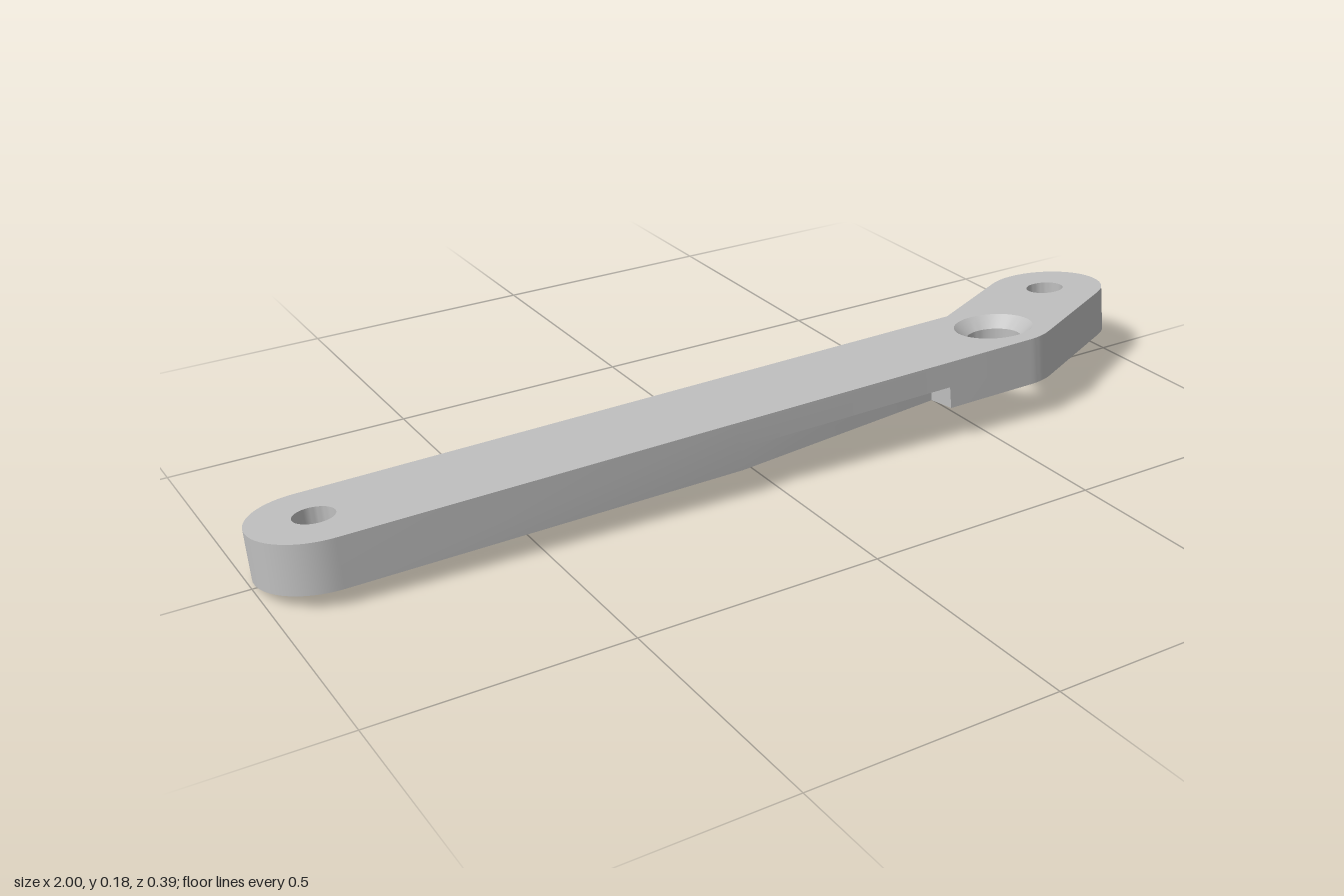
import * as THREE from 'three';
import { mergeGeometries, toCreasedNormals } from 'three/addons/utils/BufferGeometryUtils.js';

const V = (x, y) => new THREE.Vector2(x, y);

// points on an arc; plan coordinates are (x, -z)
function arc(c, r, a0, a1, n) {
  return Array.from({ length: n + 1 }, (_, i) => {
    const a = a0 + (a1 - a0) * i / n;
    return V(c.x + r * Math.cos(a), c.y + r * Math.sin(a));
  });
}
const hole = (c, r) => arc(c, r, 0, -2 * Math.PI, 40);

// strip of quads between an upper and a lower row of points
function band(top, yTop, bottom, yBottom) {
  const pos = [];
  const put = (p, y) => pos.push(p.x, y, -p.y);
  for (let i = 0; i < top.length - 1; i++) {
    put(bottom[i], yBottom); put(bottom[i + 1], yBottom); put(top[i + 1], yTop);
    put(bottom[i], yBottom); put(top[i + 1], yTop); put(top[i], yTop);
  }
  const g = new THREE.BufferGeometry();
  g.setAttribute('position', new THREE.Float32BufferAttribute(pos, 3));
  return g;
}

// flat face at height y, facing up or down
function cap(points, holes, y, down) {
  const shape = new THREE.Shape(points);
  shape.holes = holes.map(h => new THREE.Path(h));
  const g = new THREE.ShapeGeometry(shape);
  if (down) g.index.array.reverse();
  g.rotateX(-Math.PI / 2).translate(0, y, 0);
  const flat = g.toNonIndexed();
  flat.deleteAttribute('uv');
  flat.deleteAttribute('normal');
  return flat;
}

export function createModel() {
  const grey = new THREE.MeshStandardMaterial({ color: 0xc0c0c0 });
  grey.name = 'metal grey';

  const R = 0.125, thick = 0.098, mid = -0.053, sink = -0.025;
  const left = V(-0.875, 0), pivot = V(0.62, -0.058), tip = V(0.872, 0.07);
  const bar = Math.atan2(pivot.y - left.y, pivot.x - left.x);
  const arm = Math.atan2(tip.y - pivot.y, tip.x - pivot.x);
  const q = Math.PI / 2;

  // bent outline with rounded ends
  const leftArc = arc(left, R, bar + q, bar + 3 * q, 28);
  const rightSide = [
    ...arc(pivot, R, bar - q, arm - q, 8),
    ...arc(tip, R, arm - q, arm + q, 28),
    V(0.595, 0.068),
  ];

  // tapering notch under the front edge
  const e0 = leftArc[leftArc.length - 1], e1 = rightSide[0];
  const edge = x => e0.clone().lerp(e1, (x - e0.x) / (e1.x - e0.x));
  const A = edge(-0.08), B = edge(0.41), C = V(B.x, B.y + 0.065);

  const smallHoles = [hole(left, 0.04), hole(tip, 0.04)];
  const bore = hole(pivot, 0.058), rim = hole(pivot, 0.083);
  const around = [B, ...rightSide, ...leftArc, A];

  const parts = [
    cap([...leftArc, A, B, ...rightSide], [...smallHoles, rim], 0, false),
    cap([...leftArc, A, C, B, ...rightSide], [...smallHoles, bore], -thick, true),
    cap([A, B, C], [], mid, true),
    band(around, 0, around, -thick),
    band([A, B], 0, [A, B], mid),
    band([A, C, B], mid, [A, C, B], -thick),
    // countersunk bore and the two end holes
    band(rim, 0, bore, sink),
    band(bore, sink, bore, -thick),
    ...smallHoles.map(h => band(h, 0, h, -thick)),
  ];

  const lever = new THREE.Mesh(toCreasedNormals(mergeGeometries(parts), 0.45), grey);
  lever.name = 'bentLever';

  // the lever rests at a slight tilt
  const normal = new THREE.Vector3(-0.0265, 1, -0.127).normalize();
  lever.quaternion.setFromUnitVectors(new THREE.Vector3(0, 1, 0), normal);
  lever.position.y = 0.137;

  const group = new THREE.Group();
  group.name = 'lever';
  group.add(lever);
  return group;
}
